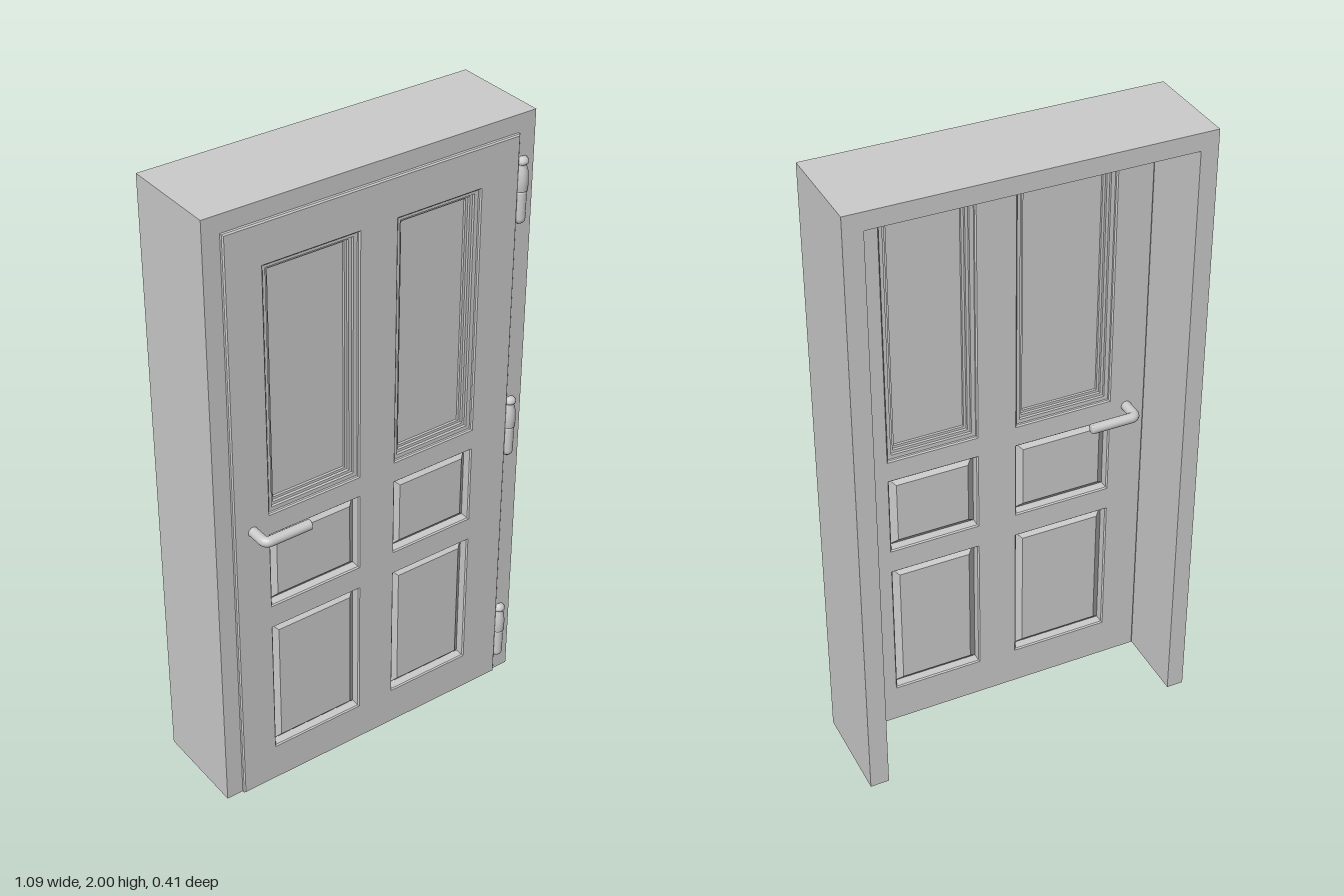
import * as THREE from 'three';

const DOOR_Z = 0.0775;   // middle of the door leaf
const DOOR_T = 0.085;    // leaf thickness

function rect(x0, y0, x1, y1, Type = THREE.Shape) {
  const s = new Type();
  s.moveTo(x0, y0);
  s.lineTo(x1, y0);
  s.lineTo(x1, y1);
  s.lineTo(x0, y1);
  s.closePath();
  return s;
}

// Extrude a shape so that its thickness is centred on z
function slab(shape, thickness, z, bevel = 0, bevelSize = bevel, bevelOffset = 0) {
  const depth = thickness - 2 * bevel;
  const geo = new THREE.ExtrudeGeometry(shape, {
    depth, bevelEnabled: bevel > 0, bevelThickness: bevel, bevelSize, bevelOffset, bevelSegments: 1,
  });
  return geo.translate(0, 0, z - depth / 2);
}

export function createModel() {
  const group = new THREE.Group();
  const mat = new THREE.MeshStandardMaterial({ color: 0xcccccc });
  const add = (name, geo, parent = group) => {
    const mesh = new THREE.Mesh(geo, mat);
    mesh.name = name;
    parent.add(mesh);
    return mesh;
  };

  // Deep surround, open at the floor
  const outline = new THREE.Shape([
    [-0.545, 0], [-0.49, 0], [-0.49, 1.945], [0.485, 1.945],
    [0.485, 0], [0.545, 0], [0.545, 2], [-0.545, 2],
  ].map(([x, y]) => new THREE.Vector2(x, y)));
  add('doorFrame', slab(outline, 0.313, -0.0485));

  // Door leaf with six openings
  const columns = [[-0.37, -0.062], [0.068, 0.35]];
  const windowRow = [1.015, 1.815];
  const panelRows = [[0.685, 0.94], [0.135, 0.6]];
  const leaf = rect(-0.49, 0, 0.485, 1.945);
  for (const [x0, x1] of columns)
    for (const [y0, y1] of [windowRow, ...panelRows]) leaf.holes.push(rect(x0, y0, x1, y1, THREE.Path));
  add('doorLeaf', slab(leaf, DOOR_T, DOOR_Z, 0.004, 0.004, -0.004));

  for (const [x0, x1] of columns) {
    // Stepped window moulding and pane
    const [y0, y1] = windowRow;
    const steps = [[0, 0.013, 0.064], [0.013, 0.022, 0.046], [0.022, 0.03, 0.028]];
    for (const [a, b, t] of steps) {
      const ring = rect(x0 + a, y0 + a, x1 - a, y1 - a);
      ring.holes.push(rect(x0 + b, y0 + b, x1 - b, y1 - b, THREE.Path));
      add('windowMoulding', slab(ring, t, DOOR_Z));
    }
    add('windowPane', slab(rect(x0 + 0.03, y0 + 0.03, x1 - 0.03, y1 - 0.03), 0.012, DOOR_Z));

    // Raised panels, bevelled on both faces
    const b = 0.026;
    for (const [p0, p1] of panelRows)
      add('raisedPanel', slab(rect(x0 + b, p0 + b, x1 - b, p1 - b), 0.066, DOOR_Z, 0.022, b));
  }

  // Lever handle on each face
  for (const side of [1, -1]) {
    const handle = new THREE.Group();
    handle.name = side > 0 ? 'frontHandle' : 'backHandle';
    const v = (x, z) => new THREE.Vector3(x, 0.979, DOOR_Z + side * z);
    const path = new THREE.CurvePath();
    path.add(new THREE.LineCurve3(v(-0.428, 0.02), v(-0.428, 0.089)));
    path.add(new THREE.QuadraticBezierCurve3(v(-0.428, 0.089), v(-0.428, 0.107), v(-0.41, 0.107)));
    path.add(new THREE.LineCurve3(v(-0.41, 0.107), v(-0.28, 0.107)));
    add('lever', new THREE.TubeGeometry(path, 48, 0.016, 16), handle);
    const tip = add('leverTip', new THREE.SphereGeometry(0.016, 16, 10), handle);
    tip.scale.x = 0.35;
    tip.position.copy(v(-0.28, 0.107));
    group.add(handle);
  }

  // Three turned hinges with finials
  const hingeProfile = [
    [0, 0], [0.01, 0.002], [0.016, 0.008], [0.018, 0.018], [0.018, 0.098], [0.015, 0.1],
    [0.015, 0.104], [0.021, 0.106], [0.021, 0.14], [0.019, 0.165], [0.014, 0.182],
    [0.014, 0.187], [0.019, 0.19], [0.019, 0.199], [0.013, 0.207], [0, 0.21],
  ].map(([r, y]) => new THREE.Vector2(r, y));
  const hingeGeo = new THREE.LatheGeometry(hingeProfile, 20);
  for (const y of [0.06, 0.86, 1.66])
    add('hinge', hingeGeo).position.set(0.502, y, 0.11);

  return group;
}
